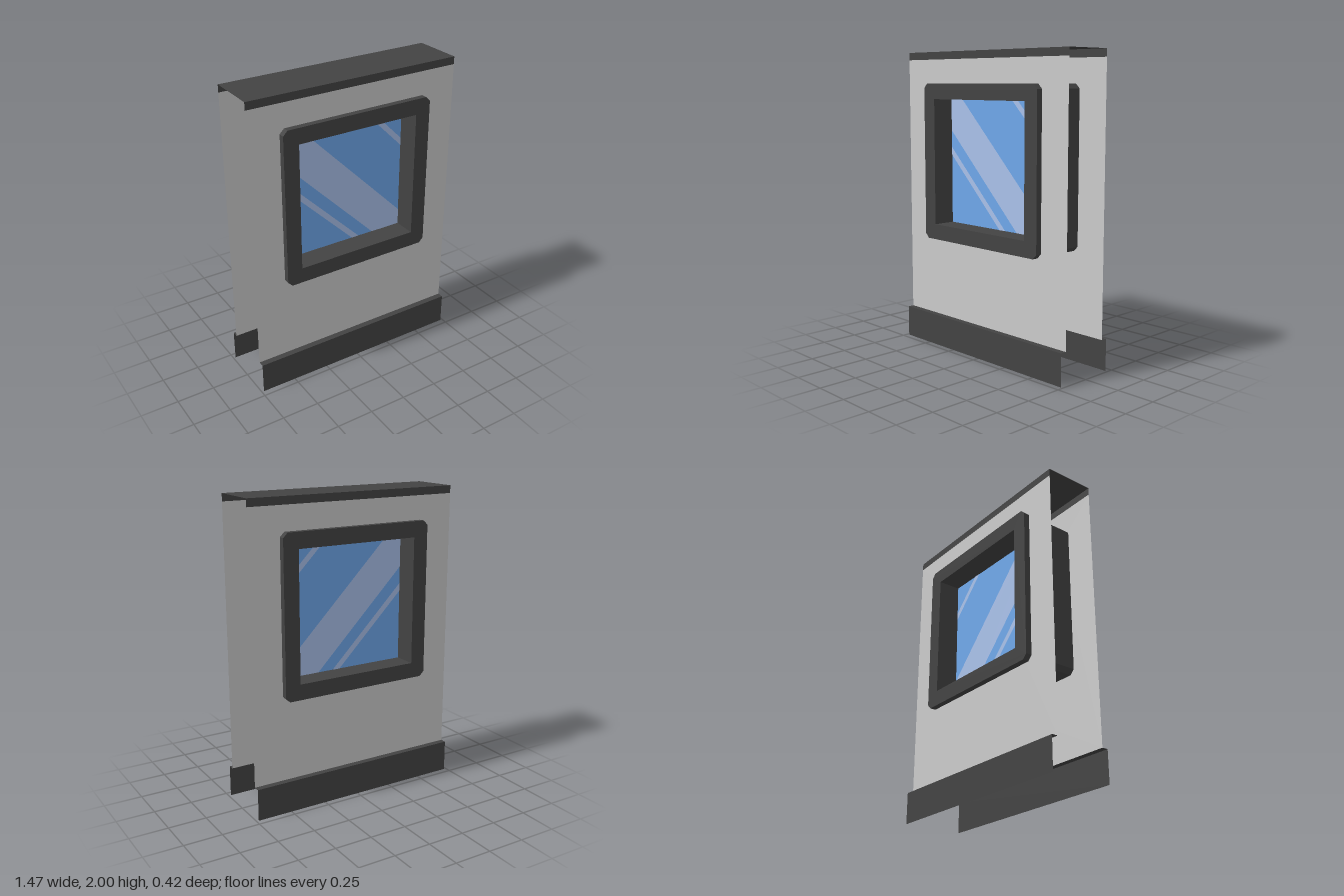
import * as THREE from 'three';

const HALF_W = 0.735;   // half width of the wall
const WALL_Z = 0.168;   // distance of each wall skin from the centre
const FRAME_Z = 0.209;  // distance of trim and frame faces
const GLASS_Z = 0.055;
const WIN_Y = 1.267;    // window centre height
const OUTER = 0.525, INNER = 0.422, CHAMFER = 0.03;

const material = (color, side = THREE.FrontSide) =>
  new THREE.MeshStandardMaterial({ color, side });

function named(name, geometry, mat) {
  const mesh = new THREE.Mesh(geometry, mat);
  mesh.name = name;
  return mesh;
}

// Thin folded sheet: a [z, y] profile swept across the full width
function foldedSheet(profile) {
  const pos = [];
  for (let i = 0; i + 1 < profile.length; i++) {
    const [z0, y0] = profile[i], [z1, y1] = profile[i + 1];
    const a = [-HALF_W, y0, z0], b = [HALF_W, y0, z0];
    const c = [HALF_W, y1, z1], d = [-HALF_W, y1, z1];
    pos.push(...a, ...b, ...c, ...a, ...c, ...d);
  }
  const geo = new THREE.BufferGeometry();
  geo.setAttribute('position', new THREE.Float32BufferAttribute(pos, 3));
  geo.computeVertexNormals();
  return geo;
}

const polygon = (pts, Kind = THREE.Shape) =>
  new Kind(pts.map(([x, y]) => new THREE.Vector2(x, y)));

const rect = (x, y0, y1) => [[-x, y0], [x, y0], [x, y1], [-x, y1]];

// Square with cut corners, centred on the window
function frameOutline() {
  const o = OUTER, k = OUTER - CHAMFER;
  return [[k, -o], [o, -k], [o, k], [k, o], [-k, o], [-o, k], [-o, -k], [-k, -o]]
    .map(([x, y]) => [x, y + WIN_Y]);
}

export function createModel() {
  const model = new THREE.Group();
  model.name = 'windowWallPanel';

  const wallMat = material(0xcccccc, THREE.DoubleSide);
  const trimMat = material(0x434343, THREE.DoubleSide);
  const glassMat = material(0x6fa8eb);
  const streakMat = material(0xaac2eb);

  const bottom = WIN_Y - INNER, top = WIN_Y + INNER;
  const opening = rect(INNER, bottom, top);

  // Top cap with a short lip on both faces
  model.add(named('topCap', foldedSheet([
    [WALL_Z, 1.95], [WALL_Z, 2], [-WALL_Z, 2], [-WALL_Z, 1.95],
  ]), trimMat));

  // Window frame running through both wall skins
  const frameShape = polygon(frameOutline());
  frameShape.holes.push(polygon(opening, THREE.Path));
  const frameGeo = new THREE.ExtrudeGeometry(frameShape, { depth: 2 * FRAME_Z, bevelEnabled: false });
  frameGeo.translate(0, 0, -FRAME_Z);
  model.add(named('windowFrame', frameGeo, trimMat));

  // Diagonal reflections on the glass
  const streaks = [
    [[-INNER, 1.476], [0.207, bottom], [INNER, bottom], [INNER, 0.952], [-0.312, top], [-INNER, top]],
    [[-INNER, 1.312], [0.048, bottom], [0.1, bottom], [-INNER, 1.364]],
    [[INNER, 1.428], [INNER, 1.478], [0.211, top], [0.161, top]],
  ];
  // The broad streak leaves the lower right corner clear only above its edges
  streaks[0].splice(2, 1, [INNER - 0.001, bottom]);

  // Wall skin, skirting and glass on each face
  for (const s of [1, -1]) {
    const face = new THREE.Group();
    face.name = s > 0 ? 'frontFace' : 'backFace';
    if (s < 0) face.rotation.y = Math.PI;

    const wall = polygon(rect(HALF_W, 0.21, 1.95));
    wall.holes.push(polygon(opening, THREE.Path));
    const skin = named('wallSkin', new THREE.ShapeGeometry(wall), wallMat);
    skin.position.z = WALL_Z;

    const skirting = named('skirting', foldedSheet([
      [FRAME_Z, 0], [FRAME_Z, 0.21], [WALL_Z, 0.21],
    ]), trimMat);

    const pane = named('glassPane', new THREE.ShapeGeometry(polygon(opening)), glassMat);
    pane.position.z = GLASS_Z;
    face.add(skin, skirting, pane);

    for (const pts of streaks) {
      const shape = polygon(pts.map(([x, y]) => [x * s, y]));
      const streak = named('glassStreak', new THREE.ShapeGeometry(shape), streakMat);
      streak.position.z = GLASS_Z + 0.002;
      face.add(streak);
    }
    model.add(face);
  }
  return model;
}
